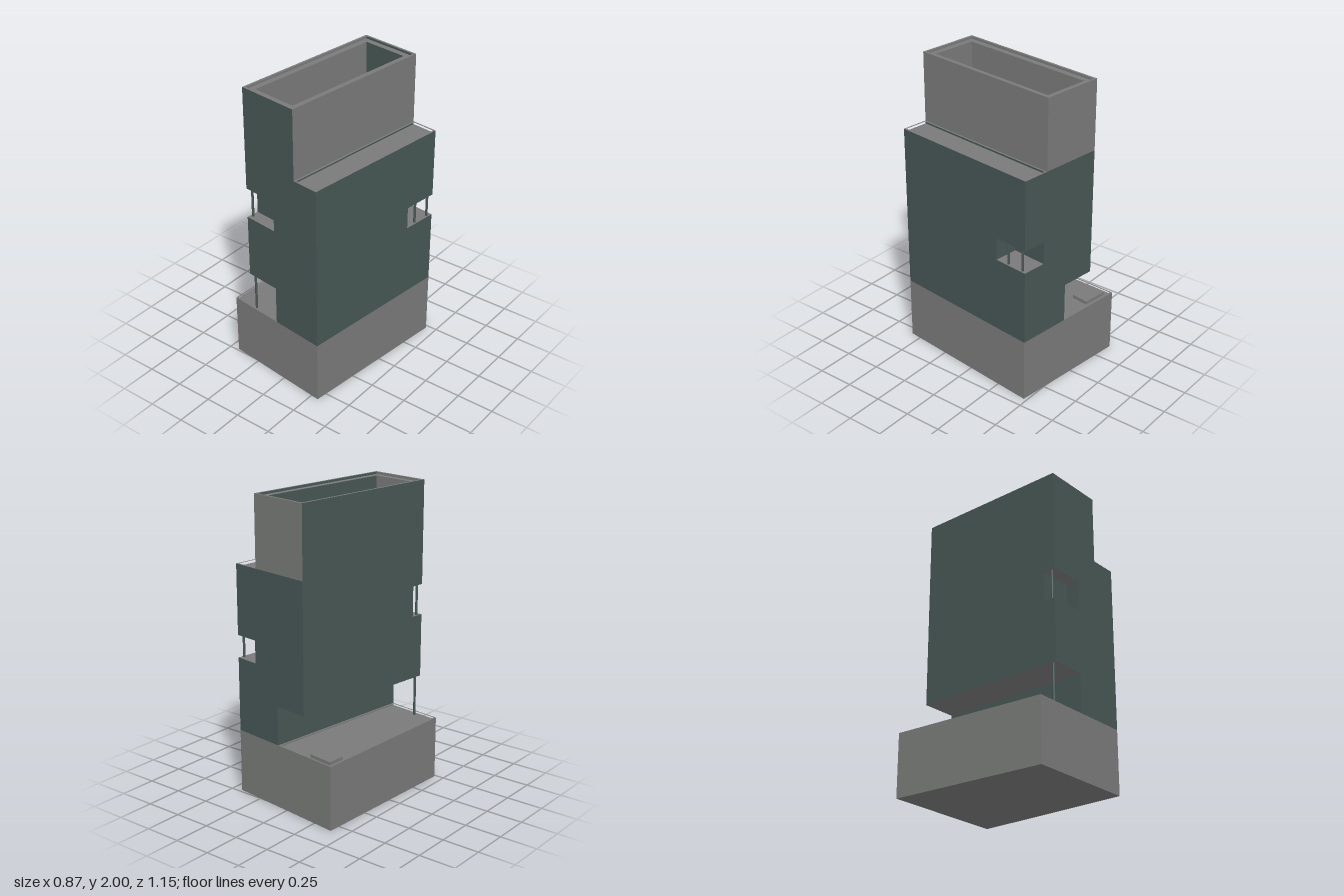
import * as THREE from 'three';

const grey = new THREE.MeshStandardMaterial({ name: 'concrete grey', color: 0x787a78 });
const slate = new THREE.MeshStandardMaterial({ name: 'slate green', color: 0x465654 });

// Plan helpers: points are [x, z]; the plan is skewed, so lines run front to back.
const front = x => [x, 0.487 + (x + 0.437) * 0.1186];
const back = x => [x, -0.578 + (x + 0.395) * 0.1208];
const lerp = (a, b, t) => [a[0] + (b[0] - a[0]) * t, a[1] + (b[1] - a[1]) * t];
const pt = (xf, t) => lerp(front(xf), back(xf + 0.126), t);

function inset(poly, d) {
  const n = poly.length;
  const unit = (a, b) => {
    const l = Math.hypot(b[0] - a[0], b[1] - a[1]);
    return [(b[0] - a[0]) / l, (b[1] - a[1]) / l];
  };
  return poly.map((p, i) => {
    const e1 = unit(poly[(i + n - 1) % n], p), e2 = unit(p, poly[(i + 1) % n]);
    const k = d / Math.abs(e1[0] * e2[1] - e1[1] * e2[0]);
    return [p[0] + (e2[0] - e1[0]) * k, p[1] + (e2[1] - e1[1]) * k];
  });
}

function planShape(poly, hole) {
  const v = q => q.map(([x, z]) => new THREE.Vector2(x, -z));
  const s = new THREE.Shape(v(poly));
  if (hole) s.holes.push(new THREE.Path(v(hole)));
  return s;
}

export function createModel() {
  const model = new THREE.Group();
  model.name = 'building';
  const add = (name, geo, mat) => {
    const m = new THREE.Mesh(geo, mat);
    m.name = name;
    model.add(m);
    return m;
  };
  // Prism with grey caps and coloured walls
  const prism = (name, poly, y0, y1, wall, hole) => {
    const g = new THREE.ExtrudeGeometry(planShape(poly, hole), { depth: y1 - y0, bevelEnabled: false });
    g.rotateX(-Math.PI / 2).translate(0, y0, 0);
    return add(name, g, [grey, wall]);
  };
  const flat = (name, poly, hole, y) =>
    add(name, new THREE.ShapeGeometry(planShape(poly, hole)).rotateX(-Math.PI / 2).translate(0, y, 0), grey);
  // Single upright face
  const panel = (name, p, q, y0, y1, mat) => {
    const g = new THREE.BufferGeometry();
    g.setAttribute('position', new THREE.Float32BufferAttribute(
      [p[0], y0, p[1], q[0], y0, q[1], q[0], y1, q[1], p[0], y1, p[1]], 3));
    g.setIndex([0, 1, 2, 0, 2, 3]);
    g.computeVertexNormals();
    add(name, g, mat);
  };
  const column = (name, [x, z], y0, y1) =>
    add(name, new THREE.CylinderGeometry(0.008, 0.008, y1 - y0, 12), slate).position.set(x, (y0 + y1) / 2, z);

  // Key plan corners
  const A = back(-0.395), D = front(-0.437);
  const B = pt(0.306, 1), C = pt(0.306, 0);
  const E = pt(-0.291, 1), F = pt(-0.291, 0);
  const Gb = pt(-0.055, 1), Gf = pt(-0.055, 0);
  const T1 = pt(0.125, 1), T2 = pt(0.125, 0);
  const full = [E, B, C, F];

  // Base with a shallow terrace
  const terrace = [A, Gb, Gf, D];
  prism('base', [A, B, C, D], 0, 0.41, grey);
  prism('basePlinth', [Gb, B, C, Gf], 0.41, 0.425, grey);
  prism('terraceRim', terrace, 0.41, 0.425, grey, inset(terrace, 0.011));
  const shaft = [[-0.358, -0.537], [-0.185, -0.515], [-0.203, -0.4], [-0.362, -0.42]];
  prism('terraceCurb', shaft, 0.41, 0.432, grey, inset(shaft, 0.008));

  // Storeys of the middle block, with recessed corners
  const t = 0.774;
  prism('groundStorey', [Gb, B, C, Gf], 0.425, 0.685, slate);
  prism('secondStorey', full, 0.685, 0.92, slate);
  prism('cornerBalconyStorey', [E, pt(0.144, 1), pt(0.144, t), pt(0.306, t), C, F], 0.92, 1.07, slate);
  prism('floorBand', full, 1.07, 1.11, slate);
  prism('frontBalconyStorey', [E, B, C, Gf, pt(-0.055, 0.08), pt(-0.291, 0.08)], 1.11, 1.315, slate);
  prism('topStorey', full, 1.315, 1.515, slate);
  const roof = [T1, B, C, T2];
  prism('roofParapet', roof, 1.515, 1.535, slate, inset(roof, 0.012));
  prism('towerFloor', [E, T1, T2, F], 1.515, 1.535, slate);

  // Slim columns at the open corners
  column('terraceColumn', pt(-0.274, 0.03), 0.41, 0.685);
  column('frontBalconyColumn', pt(-0.274, 0.03), 1.11, 1.315);
  column('cornerBalconyColumn', pt(0.29, 0.968), 0.92, 1.07);
  column('sideBalconyColumn', pt(0.29, 0.857), 0.92, 1.07);

  // Open tower: two-tone walls, thin parapet and inner ledge
  const outer = [E, T1, T2, F], lip = inset(outer, 0.016), inner = inset(outer, 0.055);
  const names = ['Back', 'Left', 'Front', 'Right'];
  for (let i = 0; i < 4; i++) {
    const j = (i + 1) % 4;
    const [out, inn] = i < 2 ? [grey, slate] : [slate, grey];
    panel('towerWall' + names[i], outer[j], outer[i], 1.535, 2, out);
    panel('towerLip' + names[i], lip[i], lip[j], 1.985, 2, inn);
    panel('towerInnerWall' + names[i], inner[i], inner[j], 1.535, 1.985, inn);
  }
  flat('towerParapetTop', outer, lip, 2);
  flat('towerLedge', lip, inner, 1.985);

  // Low equipment boxes on the tower floor: x, z, width, depth
  [[-0.115, -0.28, 0.04, 0.15], [-0.025, -0.25, 0.08, 0.14], [0.095, -0.225, 0.08, 0.17],
    [-0.14, -0.1, 0.04, 0.15], [-0.045, -0.04, 0.09, 0.25], [0.11, -0.06, 0.05, 0.07],
    [0.1, 0, 0.03, 0.03], [0.06, 0.155, 0.09, 0.17], [-0.16, 0.11, 0.04, 0.085],
    [-0.175, 0.235, 0.04, 0.085], [-0.19, 0.36, 0.04, 0.085], [0.03, 0.35, 0.1, 0.06],
    [0.15, -0.41, 0.055, 0.075]].forEach(([x, z, w, d]) => {
    const m = add('roofUnit', new THREE.BoxGeometry(w, 0.02, d), grey);
    m.position.set(x, 1.545, z);
    m.rotation.y = -0.119;
  });

  return model;
}
